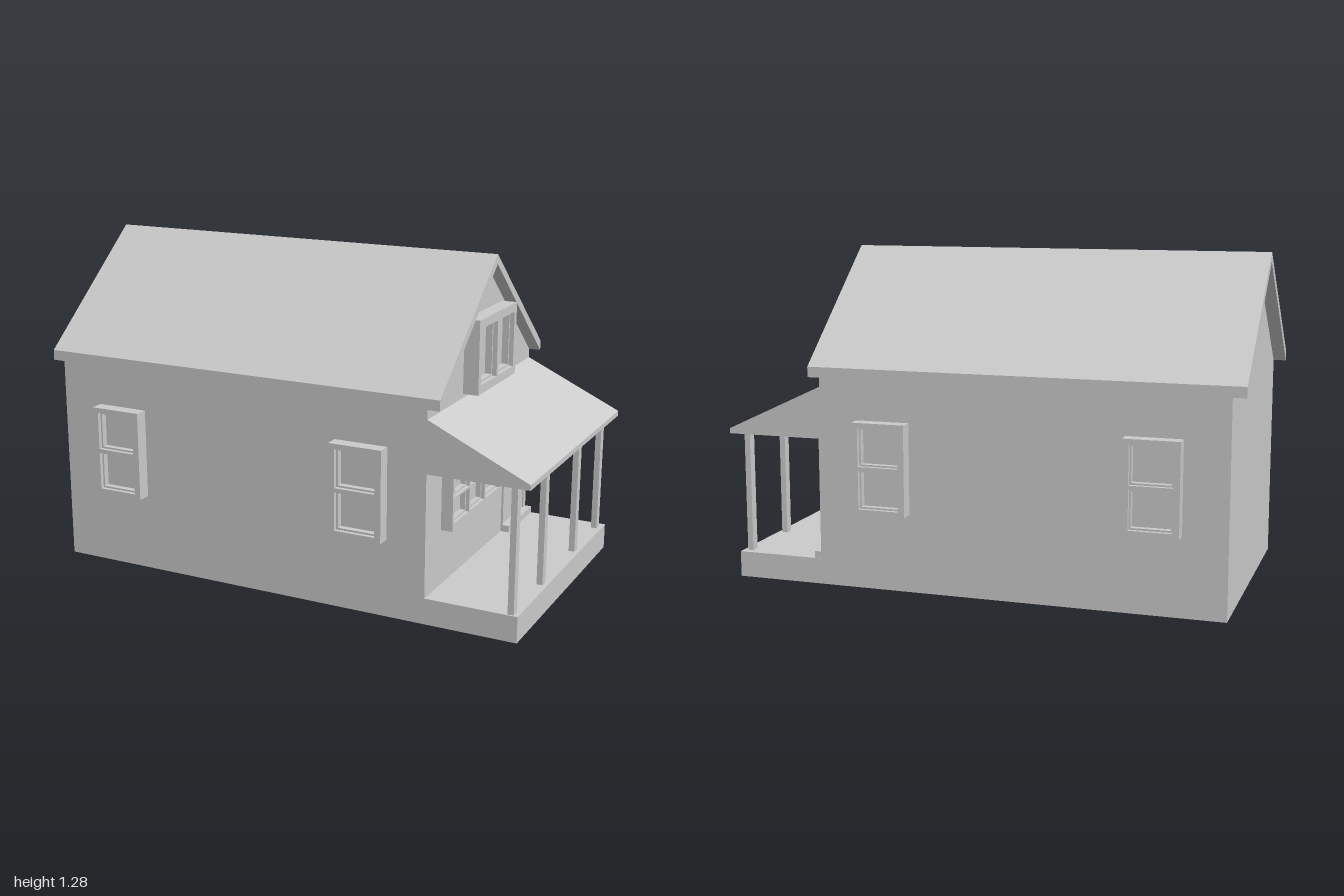
import * as THREE from 'three';

const mat = new THREE.MeshStandardMaterial({ color: 0xcccccc, flatShading: true });

function add(parent, name, geometry) {
  const mesh = new THREE.Mesh(geometry, mat);
  mesh.name = name;
  parent.add(mesh);
  return mesh;
}

// Box given by its minimum and maximum corners
function box(parent, name, x0, x1, y0, y1, z0, z1) {
  const mesh = add(parent, name, new THREE.BoxGeometry(x1 - x0, y1 - y0, z1 - z0));
  mesh.position.set((x0 + x1) / 2, (y0 + y1) / 2, (z0 + z1) / 2);
  return mesh;
}

function polygon(points) {
  return new THREE.Shape(points.map(([x, y]) => new THREE.Vector2(x, y)));
}

function rect(x0, x1, y0, y1) {
  return [[x0, y0], [x1, y0], [x1, y1], [x0, y1]];
}

function extrude(shape, depth) {
  return new THREE.ExtrudeGeometry(shape, { depth, bevelEnabled: false });
}

// Cross-section in the z-y plane, swept from x0 to x1
function alongX(parent, name, points, x0, x1) {
  const geometry = extrude(polygon(points), x1 - x0);
  geometry.rotateY(Math.PI / 2).translate(x0, 0, 0);
  return add(parent, name, geometry);
}

// Window facing +z with its back on z = 0; panes are [x0, x1, y0, y1]
function makeWindow(name, w, h, depth, panes) {
  const group = new THREE.Group();
  group.name = name;
  const casing = polygon(rect(-w / 2, w / 2, -h / 2, h / 2));
  for (const pane of panes) casing.holes.push(polygon(rect(...pane)));
  add(group, 'windowCasing', extrude(casing, depth));
  const t = 0.007;
  for (const [x0, x1, y0, y1] of panes) {
    const sash = polygon(rect(x0, x1, y0, y1));
    sash.holes.push(polygon(rect(x0 + t, x1 - t, y0 + t, y1 - t)));
    add(group, 'windowSash', extrude(sash, depth * 0.7));
    box(group, 'windowPane', x0, x1, y0, y1, 0, depth * 0.25);
  }
  return group;
}

export function createModel() {
  const house = new THREE.Group();
  house.name = 'house';
  const W = 0.52, wallX = 0.615;

  // Walls with gable ends
  alongX(house, 'walls', [[-W, 0], [W, 0], [W, 0.805], [0, 1.24], [-W, 0.805]], -0.95, wallX);

  // Gable roof, overhanging both ends
  alongX(house, 'roof', [
    [-W, 0.805], [0, 1.24], [W, 0.805], [W, 0.845], [0, 1.277], [-W, 0.845],
  ], -1, 0.662);

  // Porch floor, lean-to roof and posts
  box(house, 'porchFloor', wallX, 0.97, 0, 0.1, -W, W);
  const lean = extrude(polygon([[wallX, 0.57], [1, 0.57], [1, 0.59], [wallX, 0.77]]), 2 * W);
  add(house, 'porchRoof', lean.translate(0, 0, -W));
  for (const z of [0.496, 0.192, -0.184, -0.474]) {
    box(house, 'porchPost', 0.93, 0.953, 0.1, 0.57, z - 0.017, z + 0.017);
  }

  // Double-hung windows on both long sides
  const sidePanes = [[-0.08, 0.08, 0.008, 0.155], [-0.08, 0.08, -0.155, -0.008]];
  for (const side of [1, -1]) {
    for (const x of [-0.678, 0.358]) {
      const win = makeWindow('sideWindow', 0.21, 0.35, 0.053, sidePanes);
      win.position.set(x, 0.475, side * W);
      if (side < 0) win.rotation.y = Math.PI;
      house.add(win);
    }
  }

  // Triple window under the porch
  const porchPanes = [];
  for (const c of [-0.156, 0, 0.156]) {
    porchPanes.push([c - 0.072, c + 0.072, 0.003, 0.097], [c - 0.072, c + 0.072, -0.097, -0.004]);
  }
  const porchWindow = makeWindow('porchWindow', 0.486, 0.25, 0.045, porchPanes);
  porchWindow.position.set(wallX, 0.44, 0.135);
  porchWindow.rotation.y = Math.PI / 2;
  house.add(porchWindow);

  // Two-light window in the gable
  const gableWindow = makeWindow('gableWindow', 0.382, 0.28, 0.06, [
    [-0.168, -0.008, -0.107, 0.107], [0.008, 0.168, -0.107, 0.107],
  ]);
  gableWindow.position.set(wallX, 0.925, 0.004);
  gableWindow.rotation.y = Math.PI / 2;
  house.add(gableWindow);

  // Door with threshold and handle
  box(house, 'door', wallX - 0.01, wallX + 0.004, 0.13, 0.565, -0.49, -0.257);
  box(house, 'doorJamb', wallX - 0.01, wallX + 0.008, 0.1, 0.57, -0.518, -0.492);
  box(house, 'doorJamb', wallX - 0.01, wallX + 0.008, 0.1, 0.57, -0.257, -0.25);
  box(house, 'doorThreshold', wallX, 0.65, 0.1, 0.127, -0.518, -0.25);
  box(house, 'doorHandle', wallX, wallX + 0.015, 0.362, 0.37, -0.29, -0.266);

  return house;
}
